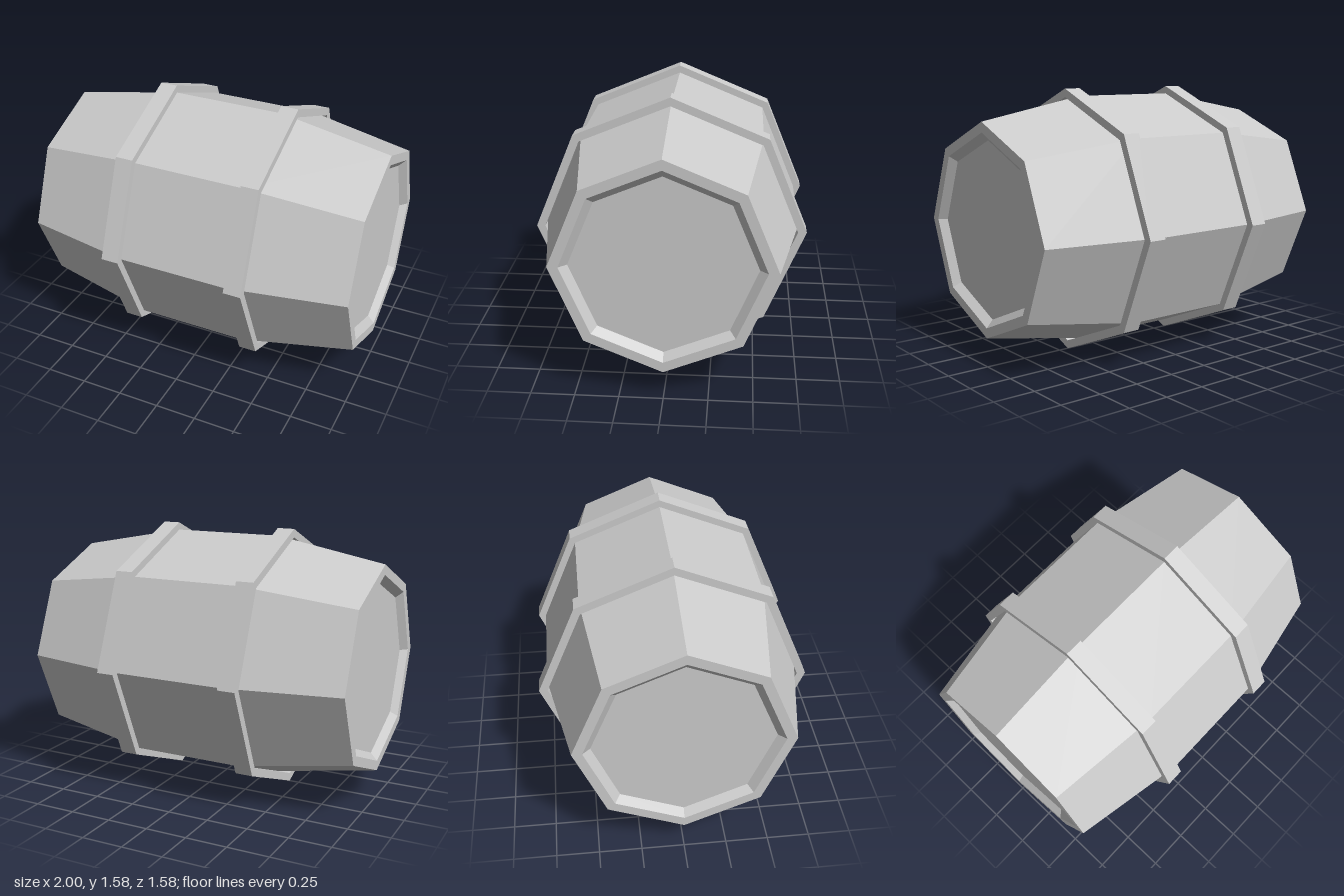
import * as THREE from 'three';

const SIDES = 8;
const CENTRE_Y = 0.79;

// Revolve an [radius, x] outline into an eight-sided solid lying along x
function turned(name, outline, material) {
  const points = outline.map(([r, x]) => new THREE.Vector2(r, x));
  const geometry = new THREE.LatheGeometry(points, SIDES);
  geometry.rotateZ(-Math.PI / 2);
  const mesh = new THREE.Mesh(geometry, material);
  mesh.name = name;
  return mesh;
}

export function createModel() {
  const material = new THREE.MeshStandardMaterial({ color: 0xcccccc, flatShading: true });
  const group = new THREE.Group();
  group.name = 'barrel';

  // Half outline from the recessed lid, over the rim, to the straight middle
  const half = [[0, -0.96], [0.515, -0.96], [0.56, -1], [0.62, -1], [0.745, -0.335]];
  const mirrored = half.map(([r, x]) => [r, -x]).reverse();
  const body = turned('staveBody', [...half, ...mirrored], material);
  body.position.y = CENTRE_Y;
  group.add(body);

  // Two raised hoops
  const w = 0.0525;
  const ring = [[0.74, -w], [0.79, -w], [0.79, w], [0.74, w], [0.74, -w]];
  for (const side of [-1, 1]) {
    const hoop = turned(side > 0 ? 'leftHoop' : 'rightHoop', ring, material);
    hoop.position.set(side * 0.3875, CENTRE_Y, 0);
    group.add(hoop);
  }

  return group;
}
